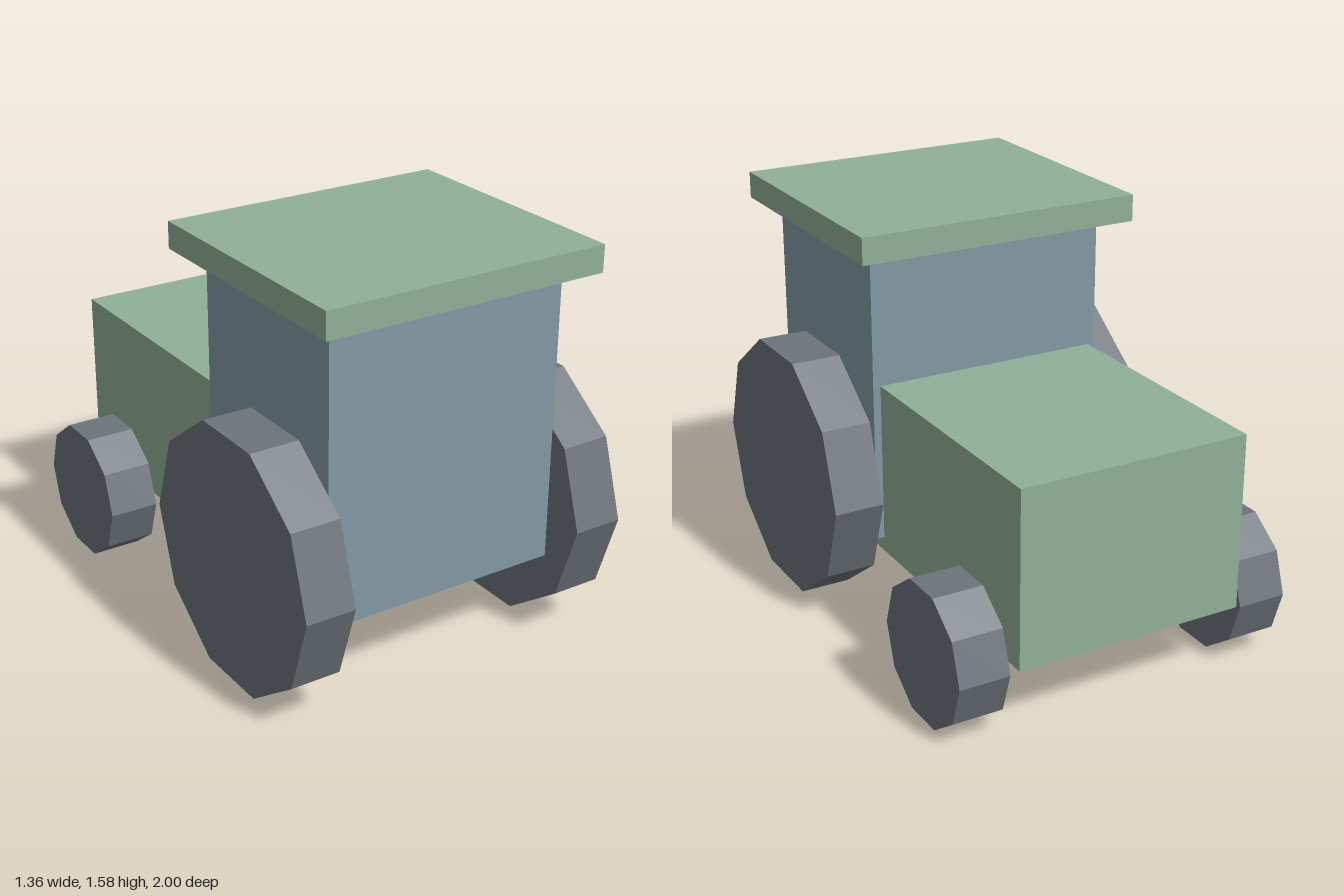
import * as THREE from 'three';

const paint = (color) => new THREE.MeshStandardMaterial({ color, flatShading: true });

export function createModel() {
  const tractor = new THREE.Group();
  tractor.name = 'tractor';
  const green = paint(0x90b098);
  const blue = paint(0x8399a4);
  const rubber = paint(0x6c737a);

  // Box given by its extents on each axis
  const box = (name, material, [x0, x1], [y0, y1], [z0, z1]) => {
    const mesh = new THREE.Mesh(new THREE.BoxGeometry(x1 - x0, y1 - y0, z1 - z0), material);
    mesh.name = name;
    mesh.position.set((x0 + x1) / 2, (y0 + y1) / 2, (z0 + z1) / 2);
    tractor.add(mesh);
  };

  // Body: the hood runs a little way into the cab
  box('hood', green, [-0.458, 0.455], [0.275, 0.96], [-1, 0.137]);
  box('cab', blue, [-0.485, 0.485], [0.333, 1.473], [0.033, 0.83]);
  box('roof', green, [-0.572, 0.569], [1.479, 1.583], [-0.084, 0.945]);

  // Ten-sided wheels with a corner pointing along z, mirrored in pairs
  const wheelPair = (name, radius, y, z) => {
    const geometry = new THREE.CylinderGeometry(radius, radius, 0.197, 10).rotateZ(Math.PI / 2);
    for (const side of [1, -1]) {
      const wheel = new THREE.Mesh(geometry, rubber);
      wheel.name = (side > 0 ? 'left' : 'right') + name;
      wheel.position.set(side * 0.583, y, z);
      tractor.add(wheel);
    }
  };
  wheelPair('LargeWheel', 0.513, 0.504, 0.487);
  wheelPair('SmallWheel', 0.274, 0.261, -0.715);

  return tractor;
}
